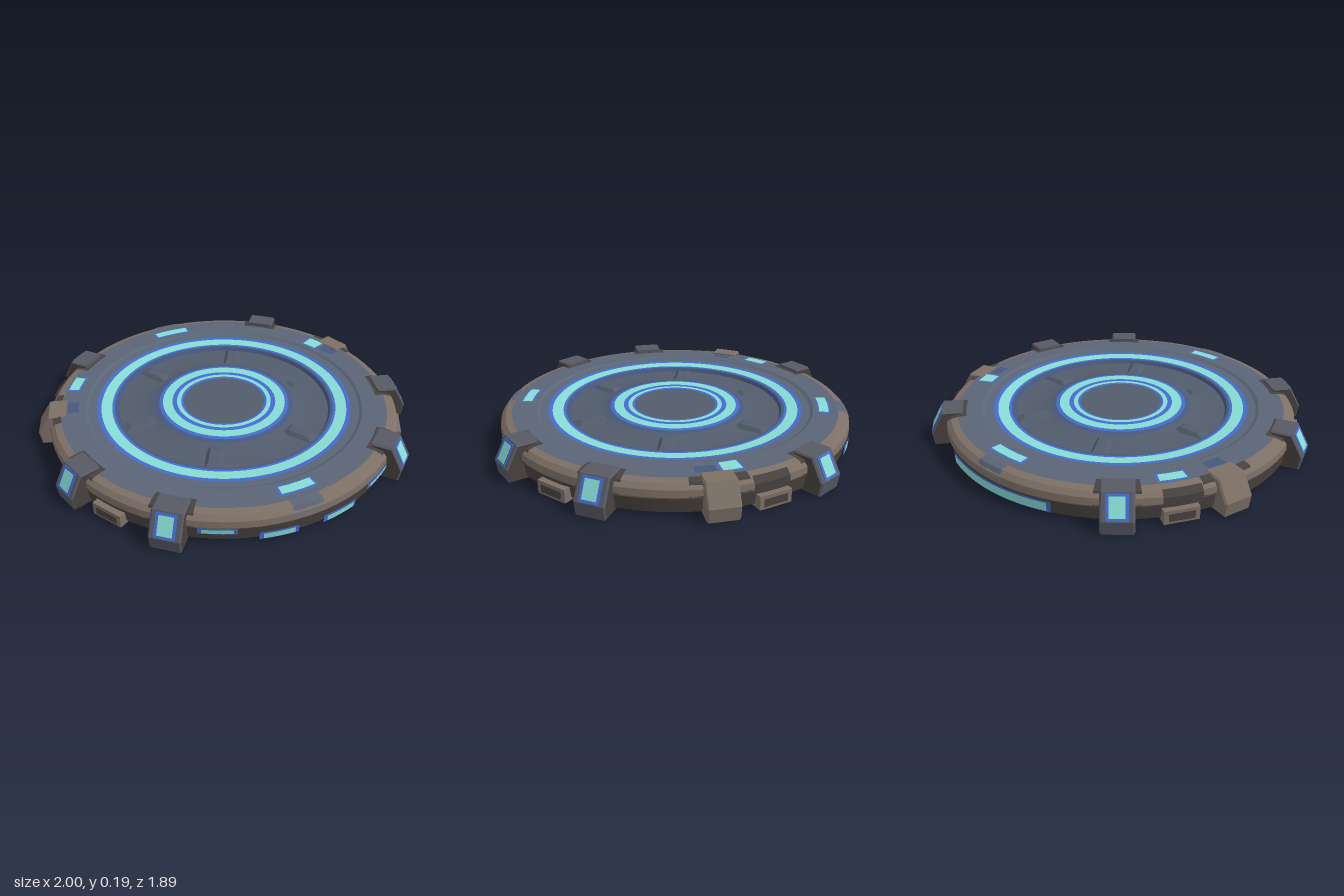
import * as THREE from 'three';
import { toCreasedNormals } from 'three/addons/utils/BufferGeometryUtils.js';

const mat = (name, color) => {
  const m = new THREE.MeshStandardMaterial({ color });
  m.name = name;
  return m;
};

export function createModel() {
  const slate = mat('slate', 0x5a6576);
  const panel = mat('panelGrey', 0x525c6c);
  const gunmetal = mat('gunmetal', 0x575a64);
  const brown = mat('wornBrown', 0x7d7066);
  const dark = mat('darkBrown', 0x48423f);
  const cyan = mat('glowCyan', 0x86dcd4);
  const blue = mat('glowBlue', 0x456bd0);
  const dim = mat('dimBlue', 0x47587f);

  const model = new THREE.Group();
  model.name = 'landingPad';

  const add = (parent, name, geometry, material) => {
    const mesh = new THREE.Mesh(geometry, material);
    mesh.name = name;
    parent.add(mesh);
    return mesh;
  };

  // Revolved band; profile runs bottom centre -> outside -> top centre.
  // Angles are measured from +z towards +x.
  const band = (name, material, profile, from = 0, to = Math.PI * 2) => {
    const pts = profile.map(([r, y]) => new THREE.Vector2(r, y));
    const seg = Math.max(3, Math.ceil((to - from) * 12));
    const geo = new THREE.LatheGeometry(pts, seg, from, to - from);
    return add(model, name, toCreasedNormals(geo, 0.45), material);
  };

  // Main disc
  band('underside', dark, [[0, 0.014], [0.9, 0.006], [0.925, 0.02], [0.935, 0.09]]);
  band('rim', brown, [[0.935, 0.09], [0.942, 0.1], [0.938, 0.135], [0.915, 0.158], [0.88, 0.166]]);
  band('deck', slate, [[0.88, 0.166], [0.75, 0.166], [0.735, 0.157], [0.69, 0.155]]);

  // Outer glowing ring
  band('outerRingEdge', blue, [[0.69, 0.155], [0.668, 0.153]]);
  band('outerRingGlow', cyan, [[0.668, 0.153], [0.61, 0.149]]);
  band('outerRingInnerEdge', blue, [[0.61, 0.149], [0.596, 0.148]]);
  band('recessLip', dim, [[0.596, 0.148], [0.582, 0.147], [0.572, 0.128]]);

  // Recessed floor and centre
  band('recessFloor', panel, [[0.572, 0.128], [0.44, 0.124], [0.38, 0.142]]);
  band('innerHalo', dim, [[0.38, 0.142], [0.355, 0.147]]);
  band('innerRingEdge', blue, [[0.355, 0.147], [0.335, 0.15]]);
  band('innerRingGlow', cyan, [[0.335, 0.15], [0.283, 0.15]]);
  band('innerRingGap', blue, [[0.283, 0.15], [0.258, 0.15]]);
  band('innerRingLine', cyan, [[0.258, 0.15], [0.235, 0.15]]);
  band('innerRingBorder', blue, [[0.235, 0.15], [0.222, 0.148]]);
  band('centrePlate', panel, [[0.222, 0.148], [0, 0.146]]);

  // Six spokes with sloping sides
  for (let i = 0; i < 6; i++) {
    const geo = new THREE.CylinderGeometry(0.035, 0.075, 0.03, 4, 1).rotateY(Math.PI / 4);
    geo.scale(1, 1, 2.2);
    const spoke = add(new THREE.Group(), 'spoke', geo.toNonIndexed(), panel);
    spoke.geometry.computeVertexNormals();
    const a = Math.PI / 2 + i * Math.PI / 3;
    spoke.position.set(Math.sin(a) * 0.485, 0.13, Math.cos(a) * 0.485);
    spoke.rotation.y = a;
    model.add(spoke);
  }

  // Lights set into the deck: angle, half length, inner and outer radius
  const deckLights = [
    [0, 0.105, 0.785, 0.835], [Math.PI, 0.125, 0.78, 0.83],
    [-2.15, 0.075, 0.81, 0.865], [1.965, 0.055, 0.77, 0.85],
  ];
  for (const [a, h, r0, r1] of deckLights) {
    band('deckLightFrame', blue, [[r1 + 0.008, 0.168], [r0 - 0.008, 0.168]], a - h - 0.012, a + h + 0.012);
    band('deckLight', cyan, [[r1, 0.17], [r0, 0.17]], a - h, a + h);
  }
  for (const a of [-1.87, 1.82]) {
    band('deckSlot', dim, [[0.845, 0.169], [0.785, 0.169]], a - 0.06, a + 0.06);
  }

  // Lights around the rim: start and end angle, bottom and top height
  const rimLights = [
    [-0.236, -0.075, 0.025, 0.056], [0.106, 0.28, 0.025, 0.056],
    [-0.535, -0.38, 0.068, 0.092], [0.416, 0.6, 0.068, 0.092],
    [2.8, 3.5, 0.035, 0.08],
  ];
  for (const [a0, a1, y0, y1] of rimLights) {
    band('rimLightFrame', blue, [[0.94, y0 - 0.006], [0.942, y1 + 0.006]], a0 - 0.02, a1 + 0.02);
    band('rimLight', cyan, [[0.944, y0], [0.946, y1]], a0, a1);
  }

  // Worn patches on the rim, front and back
  for (const a of [0, Math.PI]) {
    band('rimPatch', slate, [[0.942, 0.125], [0.918, 0.161], [0.88, 0.169]], a - 0.085, a + 0.085);
  }

  // Clamp: side profile swept across its width
  const clampGeometry = (out, top) => {
    const b = 0.008;
    const s = new THREE.Shape();
    s.moveTo(0.85 + b, b);
    s.lineTo(out - 0.01 - b, b);
    s.lineTo(out - b, 0.07);
    s.lineTo(out - 0.06 - b, top - b);
    s.lineTo(0.85 + b, top - b);
    s.closePath();
    const geo = new THREE.ExtrudeGeometry(s, {
      depth: 0.14, bevelEnabled: true, bevelSize: b, bevelThickness: b, bevelSegments: 1,
    });
    return geo.translate(0, 0, -0.07).rotateY(-Math.PI / 2);
  };

  const clampAngles = [0.69, 1.28, Math.PI - 0.7];
  for (const side of [1, -1]) {
    // Lit clamps
    for (const angle of clampAngles) {
      const a = angle * side;
      const clamp = new THREE.Group();
      clamp.name = 'clamp';
      clamp.rotation.y = a;
      add(clamp, 'clampBody', clampGeometry(1.02, 0.186), [dark, gunmetal]);
      const light = new THREE.Group();
      light.name = 'clampLight';
      light.position.set(0, 0.128, 0.99);
      light.rotation.x = -0.5;
      add(light, 'clampLightFrame', new THREE.BoxGeometry(0.1, 0.118, 0.006), blue);
      add(light, 'clampLightPane', new THREE.BoxGeometry(0.072, 0.094, 0.009), cyan);
      clamp.add(light);
      model.add(clamp);
      band('clampSeat', dark, [[0.943, 0.1], [0.918, 0.161], [0.88, 0.169], [0.835, 0.169]], a - 0.115, a + 0.115);
    }

    // Worn unlit clamps at the back of each side
    const worn = add(model, 'wornClamp', clampGeometry(1.005, 0.172), brown);
    worn.rotation.y = 1.87 * side;
    band('wornClampSeat', dark, [[0.943, 0.1], [0.918, 0.161], [0.88, 0.169]], 1.87 * side - 0.15, 1.87 * side + 0.15);

    // Low brackets on the rim
    for (const a of [1.03, Math.PI - 1.0]) {
      const bracket = new THREE.Group();
      bracket.name = 'bracket';
      bracket.rotation.y = a * side;
      const body = add(bracket, 'bracketBody', new THREE.BoxGeometry(0.17, 0.068, 0.09), brown);
      body.position.set(0, 0.04, 0.918);
      const inset = add(bracket, 'bracketInset', new THREE.BoxGeometry(0.125, 0.038, 0.006), dark);
      inset.position.set(0, 0.038, 0.963);
      model.add(bracket);
    }
    // Raised rim plates above the rear brackets
    const b = 2.13 * side;
    band('rearRimPlate', dark, [[0.95, 0.085], [0.95, 0.135], [0.922, 0.163]], b - 0.1, b + 0.1);
  }

  return model;
}
